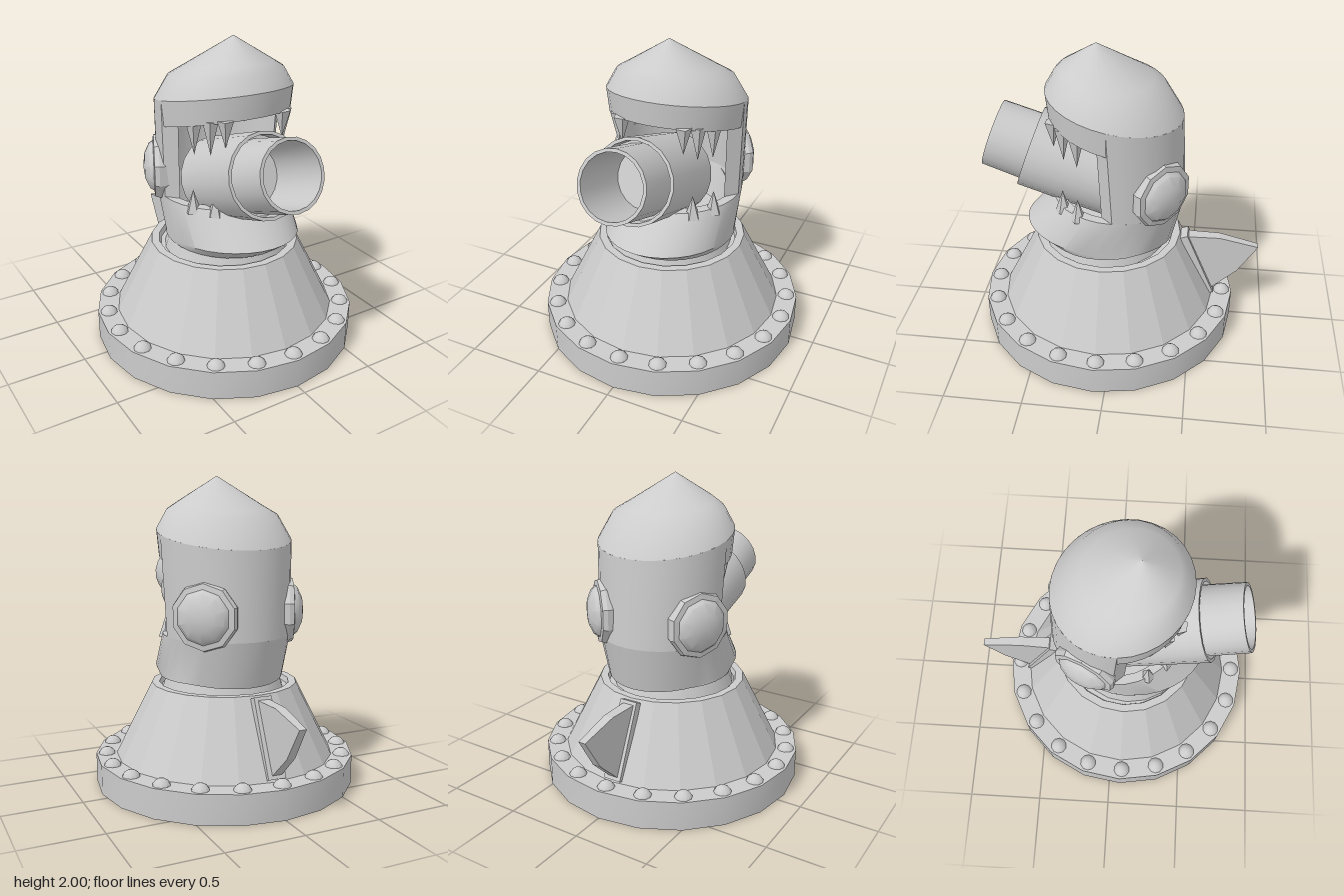
import * as THREE from 'three';
import { toCreasedNormals } from 'three/addons/utils/BufferGeometryUtils.js';

const smooth = new THREE.MeshStandardMaterial({ color: 0xcccccc, side: THREE.DoubleSide });
const flat = new THREE.MeshStandardMaterial({ color: 0xcccccc, side: THREE.DoubleSide, flatShading: true });
const HEAD_X = 0.02, BASE_Z = 0.075;

function add(parent, name, geometry, material = smooth, x = 0, y = 0, z = 0) {
  const geo = material === smooth ? toCreasedNormals(geometry, 0.6) : geometry;
  const mesh = new THREE.Mesh(geo, material);
  mesh.name = name;
  mesh.position.set(x, y, z);
  parent.add(mesh);
  return mesh;
}

const lathe = (points, sides) =>
  new THREE.LatheGeometry(points.map(([r, y]) => new THREE.Vector2(r, y)), sides);

// Sweeps a closed profile of elliptical rows [y, tilt, centreZ, radiusX, radiusZ, spread] between two angles.
function sweep(rows, a0, a1, n) {
  const pos = [], idx = [], m = rows.length, mid = (a0 + a1) / 2;
  for (let i = 0; i <= n; i++) {
    const a = a0 + ((a1 - a0) * i) / n;
    for (const [y, tilt, cz, rx, rz, k = 1] of rows) {
      const b = mid + (a - mid) * k;
      const z = cz + rz * Math.cos(b);
      pos.push(HEAD_X + rx * Math.sin(b), y + tilt * z, z);
    }
  }
  for (let i = 0; i < n; i++) {
    for (let j = 0; j < m; j++) {
      const a = i * m + j, d = i * m + ((j + 1) % m);
      idx.push(a, a + m, d + m, a, d + m, d);
    }
  }
  // end caps for partial sweeps
  if (a1 - a0 < 6.28) {
    const e = n * m;
    for (let j = 1; j < m - 1; j++) idx.push(0, j, j + 1, e, e + j + 1, e + j);
  }
  const geo = new THREE.BufferGeometry();
  geo.setAttribute('position', new THREE.Float32BufferAttribute(pos, 3));
  geo.setIndex(idx);
  return geo;
}

function buildBase(root) {
  const base = new THREE.Group();
  base.name = 'base';
  base.position.z = BASE_Z;
  root.add(base);
  add(base, 'basePlate', new THREE.CylinderGeometry(0.855, 0.855, 0.19, 20), smooth, 0, 0.095, 0);
  add(base, 'skirt', lathe([[0.72, 0.19], [0.48, 0.665], [0.43, 0.665], [0.42, 0.63], [0, 0.63]], 20), flat);
  add(base, 'neck', new THREE.CylinderGeometry(0.34, 0.4, 0.19, 20), smooth, 0, 0.725, 0.02);
  const rivet = new THREE.SphereGeometry(0.058, 10, 8);
  for (let i = 0; i < 20; i++) {
    const a = (i * Math.PI) / 10 - 0.015;
    add(base, 'rivet', rivet, smooth, 0.785 * Math.cos(a), 0.175, 0.785 * Math.sin(a));
  }
}

function buildFin(root) {
  // outline given as distance behind the centre and height
  const outline = [[0.42, 0.65], [0.67, 0.65], [0.93, 0.59], [0.8, 0.38], [0.62, 0.21], [0.58, 0.25]];
  const shape = new THREE.Shape(outline.map(([s, y]) => new THREE.Vector2(s, y)));
  const geo = new THREE.ExtrudeGeometry(shape, { depth: 0.08, bevelEnabled: false });
  geo.translate(0, 0, -0.04);
  const p = geo.attributes.position;
  for (let i = 0; i < p.count; i++) p.setZ(i, p.getZ(i) * (1 - 0.8 * (p.getX(i) - 0.42)));
  geo.rotateY(Math.PI / 2);
  add(root, 'fin', geo, flat, -0.015, 0, 0);
  const plate = add(root, 'finMount', new THREE.BoxGeometry(0.12, 0.5, 0.05), flat, -0.012, 0.43, -0.53);
  plate.rotation.x = 0.4;
}

function buildHead(root) {
  const head = new THREE.Group();
  head.name = 'head';
  root.add(head);
  const H = Math.PI / 2;
  const dome = [[1.63, 0.2, 0.03, 0.435, 0.425], [1.765, 0.13, 0.055, 0.36, 0.345],
    [1.81, 0.14, 0.075, 0.28, 0.285], [2, 0, 0.14, 0, 0], [1.95, 0, 0.14, 0, 0], [1.6, 0.2, 0.03, 0.37, 0.36]];
  add(head, 'dome', sweep(dome, 0, 4 * H, 32));

  // back wall with bevelled front edges
  add(head, 'backWall', sweep([[1.0, 0, 0, 0.41, 0.425], [1.63, 0.2, 0.03, 0.435, 0.425],
    [1.63, 0.2, 0.03, 0.37, 0.36, 1.13], [1.0, 0, 0, 0.35, 0.36, 1.13]], H, 3 * H, 18));

  // visor over the opening
  add(head, 'visor', sweep([[1.465, 0.24, 0.03, 0.42, 0.41], [1.63, 0.2, 0.03, 0.435, 0.425],
    [1.63, 0.2, 0.03, 0.36, 0.35], [1.465, 0.24, 0.03, 0.36, 0.35]], -H, H, 16));

  // lower ring, pushed forward into a jaw
  add(head, 'jaw', sweep([[0.715, -0.02, 0.08, 0.4, 0.42], [0.735, 0.09, 0.125, 0.405, 0.485],
    [1.0, 0, 0, 0.41, 0.425], [1.0, 0, 0, 0.35, 0.36], [0.74, 0, 0.08, 0.35, 0.37]], 0, 4 * H, 32));

  // teeth, mirrored about the head's middle: [x offset, z, base height, tip height]
  const teeth = [[0.2, 0.38, 1.57, 1.4], [0.26, 0.31, 1.56, 1.345], [0.32, 0.22, 1.54, 1.335],
    [0.24, 0.33, 0.96, 1.11], [0.33, 0.22, 0.96, 1.11]];
  for (const [x, z, y0, y1] of teeth) {
    const up = y1 > y0;
    for (const side of [-1, 1]) {
      const tooth = add(head, up ? 'lowerTooth' : 'upperTooth',
        new THREE.ConeGeometry(0.05, Math.abs(y1 - y0), 5), flat, HEAD_X + side * x, (y0 + y1) / 2, z);
      if (!up) tooth.rotation.x = Math.PI;
    }
  }

  // portholes: [outward x, outward z, centre height]
  for (const [nx, nz, y] of [[0.69, -0.72, 1.155], [-0.9, -0.43, 1.145]]) {
    const port = new THREE.Group();
    port.name = 'porthole';
    port.position.set(HEAD_X + nx * 0.4, y, nz * 0.4);
    port.rotation.y = Math.atan2(nx, nz);
    head.add(port);
    const rim = lathe([[0.2, -0.06], [0.215, 0], [0.205, 0.03], [0.17, 0.035]], 10);
    const glass = lathe([[0.175, 0.025], [0.15, 0.06], [0.085, 0.09], [0, 0.1]], 10);
    add(port, 'portholeRim', rim.rotateX(H), flat);
    add(port, 'portholeGlass', glass.rotateX(H), smooth);
  }
}

function buildBarrel(root) {
  const barrel = new THREE.Group();
  barrel.name = 'barrel';
  barrel.position.set(-0.015, 1.262, 0.577);
  barrel.rotation.x = 1.231;
  root.add(barrel);
  add(barrel, 'collar', lathe([[0, -0.6], [0.262, -0.6], [0.264, 0], [0.243, 0], [0.24, -0.08], [0.2, -0.08]], 20));
  add(barrel, 'muzzle', lathe([[0.225, -0.1], [0.217, 0.255], [0.196, 0.255], [0.196, -0.195], [0, -0.195]], 20));
}

export function createModel() {
  const root = new THREE.Group();
  root.name = 'divingHelmetCannon';
  buildBase(root);
  buildFin(root);
  buildHead(root);
  buildBarrel(root);
  return root;
}
